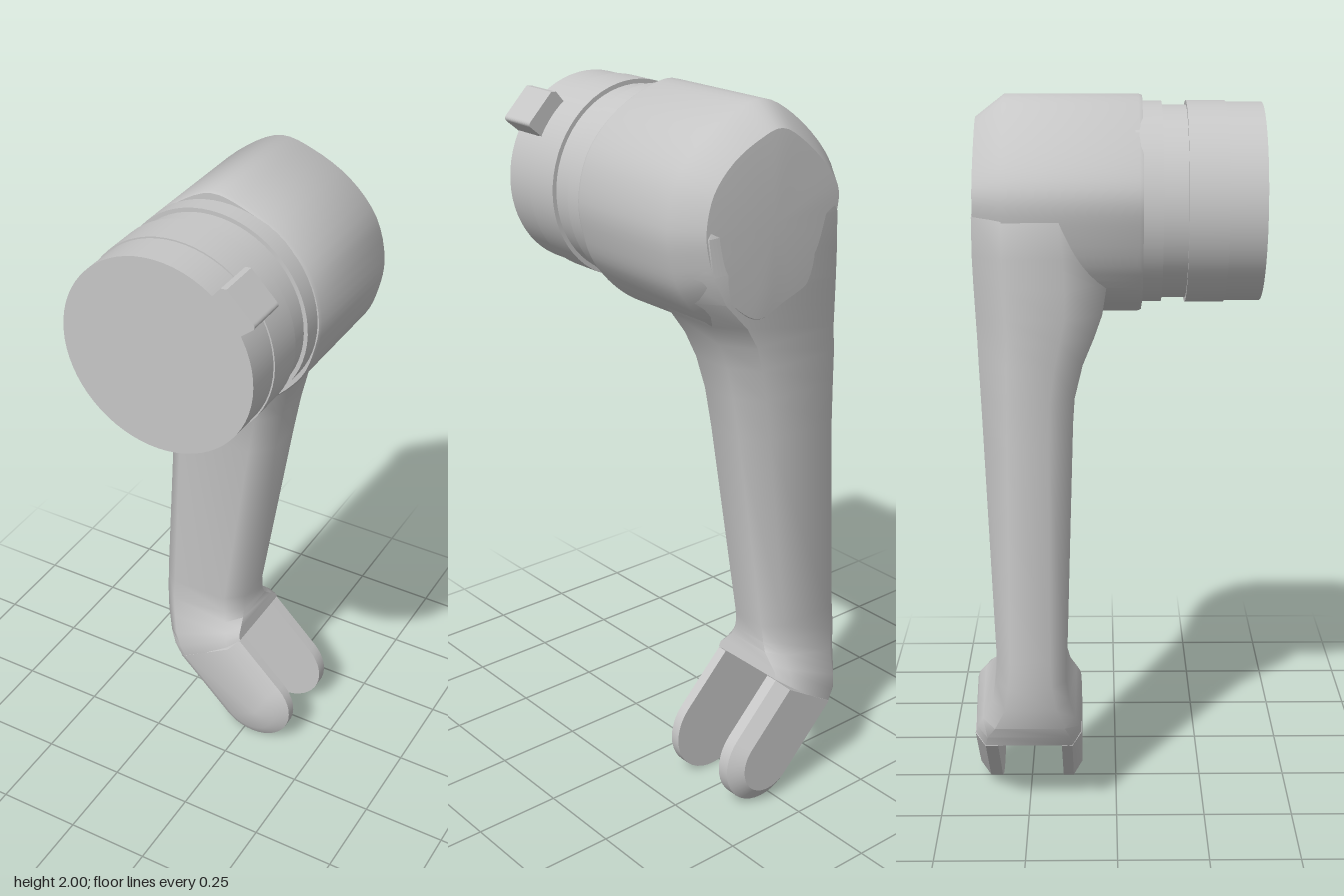
import * as THREE from 'three';
import { toCreasedNormals } from 'three/addons/utils/BufferGeometryUtils.js';

const V = (x, y, z) => new THREE.Vector3(x, y, z);

// Skin closed rings of equal length and cap both ends; faces always point outward.
function loft(rings, crease = 0.6) {
  const n = rings[0].length, pos = [], idx = [];
  rings.forEach(r => r.forEach(p => pos.push(p.x, p.y, p.z)));
  for (let i = 0; i < rings.length - 1; i++) {
    for (let j = 0; j < n; j++) {
      const a = i * n + j, b = i * n + (j + 1) % n;
      idx.push(a, b, b + n, a, b + n, a + n);
    }
  }
  [0, rings.length - 1].forEach((k, end) => {
    const c = rings[k].reduce((s, p) => s.add(p), V(0, 0, 0)).divideScalar(n);
    const ci = pos.length / 3;
    pos.push(c.x, c.y, c.z);
    for (let j = 0; j < n; j++) {
      const a = k * n + j, b = k * n + (j + 1) % n;
      idx.push(...(end ? [a, b, ci] : [b, a, ci]));
    }
  });
  const at = i => V(pos[3 * i], pos[3 * i + 1], pos[3 * i + 2]);
  let volume = 0;
  for (let t = 0; t < idx.length; t += 3) volume += at(idx[t]).dot(at(idx[t + 1]).cross(at(idx[t + 2])));
  if (volume < 0) idx.reverse();
  const g = new THREE.BufferGeometry();
  g.setAttribute('position', new THREE.Float32BufferAttribute(pos, 3));
  g.setIndex(idx);
  return toCreasedNormals(g, crease);
}

export function createModel() {
  const group = new THREE.Group();
  const grey = new THREE.MeshStandardMaterial({ color: 0xc6c6c6 });
  grey.name = 'light grey metal';
  const add = (name, geometry) => {
    const m = new THREE.Mesh(geometry, grey);
    m.name = name;
    group.add(m);
    return m;
  };

  // Housing: rounded outline, bevelled and slightly crowned at the back
  const outline = new THREE.CatmullRomCurve3([
    [0, 2], [0.09, 1.982], [0.2, 1.925], [0.28, 1.835], [0.31, 1.72], [0.298, 1.63], [0.265, 1.545],
    [0.17, 1.445], [0.08, 1.402], [-0.02, 1.43], [-0.13, 1.475], [-0.2, 1.55], [-0.242, 1.66],
    [-0.255, 1.76], [-0.215, 1.84], [-0.1, 1.95],
  ].map(([x, y]) => V(x, y, 0)), true, 'centripetal').getPoints(64).slice(0, 64);
  const middle = V(0.03, 1.71, 0);
  const layer = (z, inset) => outline.map(p => {
    const d = p.clone().sub(middle);
    return d.setLength(d.length() - inset).add(middle).setZ(z);
  });
  add('housing', loft([layer(0.07, 0.004), layer(0.06, 0), layer(-0.298, 0), layer(-0.376, 0.06),
    layer(-0.382, 0.14)], 0.8));

  // Arm: bevelled sections; left x,y, right x,y, front z, back z,
  // front bevel width and depth, back bevel width and depth
  const rows = [
    [-0.2, 1.8, 0.25, 1.8, -0.06, -0.365, 0.1, 0.12, 0.06, 0.08],
    [-0.25, 1.7, 0.304, 1.7, -0.03, -0.379, 0.1, 0.12, 0.06, 0.08],
    [-0.253, 1.6, 0.288, 1.6, -0.02, -0.379, 0.1, 0.12, 0.06, 0.08],
    [-0.256, 1.52, 0.245, 1.52, -0.025, -0.376, 0.09, 0.11, 0.06, 0.08],
    [-0.259, 1.44, 0.168, 1.44, -0.038, -0.372, 0.075, 0.1, 0.06, 0.08],
    [-0.261, 1.38, 0.13, 1.38, -0.06, -0.369, 0.065, 0.09, 0.06, 0.08],
    [-0.264, 1.31, 0.104, 1.31, -0.09, -0.366, 0.055, 0.075, 0.055, 0.075],
    [-0.268, 1.22, 0.083, 1.22, -0.112, -0.362, 0.055, 0.065, 0.055, 0.07],
    [-0.274, 1.1, 0.062, 1.1, -0.12, -0.357, 0.055, 0.06, 0.055, 0.065],
    [-0.31, 0.5, -0.033, 0.5, -0.138, -0.332, 0.05, 0.045, 0.05, 0.04],
    [-0.311, 0.42, -0.035, 0.45, -0.14, -0.334, 0.045, 0.04, 0.045, 0.035],
    [-0.302, 0.35, -0.032, 0.425, -0.132, -0.345, 0.045, 0.035, 0.045, 0.035],
    [-0.28, 0.285, -0.027, 0.4, -0.115, -0.375, 0.04, 0.03, 0.04, 0.035],
    [-0.258, 0.248, -0.023, 0.384, -0.104, -0.393, 0.04, 0.025, 0.04, 0.03],
    [-0.232, 0.21, -0.019, 0.367, -0.1, -0.4, 0.04, 0.025, 0.04, 0.03],
  ];
  add('arm', loft(rows.map(([lx, ly, rx, ry, zf, zb, wf, df, wb, db]) => {
    const L = V(lx, ly, 0), R = V(rx, ry, 0), width = L.distanceTo(R);
    const f = wf / width, b = wb / width;
    const at = (u, z) => L.clone().lerp(R, u).setZ(z);
    return [at(0, zf - df), at(f, zf), at(1 - f, zf), at(1, zf - df),
      at(1, zb + db), at(1 - b, zb), at(b, zb), at(0, zb + db)];
  }), 0.98));

  // Fork: two round-ended prongs with bevelled outer faces
  const prong = (r, z) => {
    const ring = [];
    for (let i = 0; i <= 20; i++) {
      const a = -Math.PI * 0.75 + Math.PI * i / 20;
      ring.push(V(0.03 + r * Math.cos(a), 0.13 + r * Math.sin(a), z));
    }
    const first = ring[0], last = ring[20];
    ring.push(V(last.x - 0.142, last.y + 0.142, z), V(first.x - 0.172, first.y + 0.172, z));
    return ring;
  };
  add('frontProng', loft([prong(0.13, -0.155), prong(0.13, -0.125), prong(0.09, -0.1)]));
  add('backProng', loft([prong(0.13, -0.335), prong(0.13, -0.37), prong(0.09, -0.4)]));

  // Round neck and cap, stepped along z
  const ringPart = (name, r, z0, z1) => {
    const g = new THREE.CylinderGeometry(r, r, z1 - z0, 64).rotateX(Math.PI / 2);
    add(name, g).position.set(0.032, 1.71, (z0 + z1) / 2);
  };
  ringPart('collar', 0.27, 0.05, 0.122);
  ringPart('groove', 0.259, 0.1, 0.2);
  ringPart('capBand', 0.271, 0.188, 0.293);
  ringPart('cap', 0.267, 0.29, 0.392);

  // Locking lug on the rim of the cap
  const s = new THREE.Shape();
  s.moveTo(-0.05, -0.052);
  s.lineTo(0.038, -0.06);
  s.quadraticCurveTo(0.05, -0.06, 0.05, -0.048);
  s.lineTo(0.05, 0.05);
  s.lineTo(0.038, 0.06);
  s.lineTo(-0.05, 0.052);
  s.closePath();
  const lug = add('lug', new THREE.ExtrudeGeometry(s, { depth: 0.115, bevelEnabled: false }));
  lug.position.set(0.23, 1.887, 0.283);
  lug.rotation.z = 0.78;

  return group;
}
